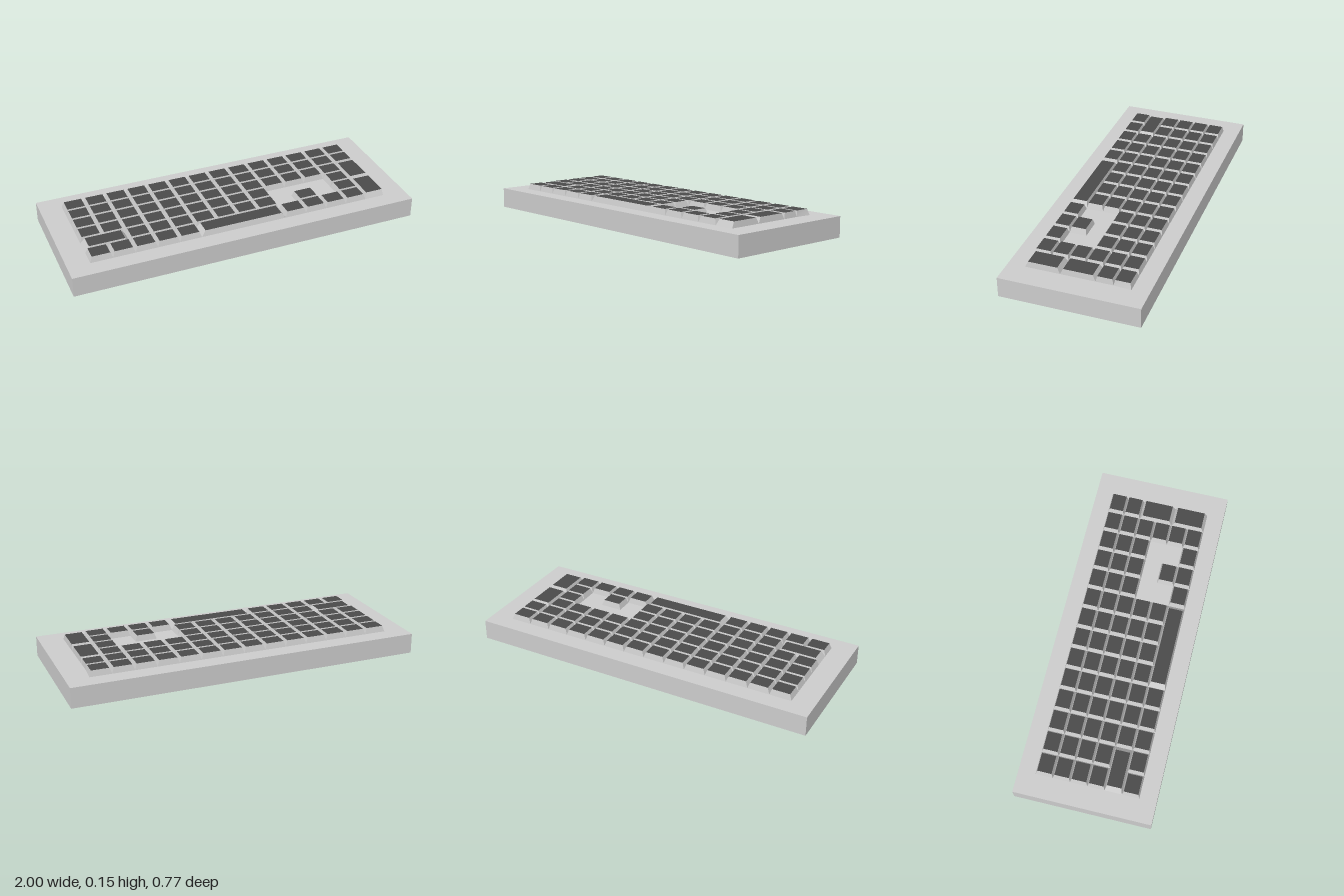
import * as THREE from 'three';

const BASE_W = 2, BASE_D = 0.77, BASE_H = 0.115, KEY_H = 0.033;
const COL = 0.125, ROW = 0.0963;      // key pitch
const X0 = -0.875, Z0 = -0.289;       // back left corner of the key field
const RIGHT_EDGE = 0.865;             // the last column is trimmed slightly

const grey = new THREE.MeshStandardMaterial({ color: 0xcccccc });
const dark = new THREE.MeshStandardMaterial({ color: 0x4a4a4a });

// Keycap: a box whose upper face is drawn in; longer caps get longer slopes
function makeKey(name, col, row, cols = 1, rows = 1) {
  const last = col + cols === 14;
  const x1 = X0 + col * COL, x2 = last ? RIGHT_EDGE : x1 + cols * COL;
  const z1 = Z0 + row * ROW, z2 = z1 + rows * ROW;
  const insetX = 0.012 * Math.min(cols, 2), insetZ = 0.008 * rows;
  const insetRight = last ? 0.004 : insetX;
  const geo = new THREE.BoxGeometry(1, 1, 1);
  const p = geo.attributes.position;
  for (let i = 0; i < p.count; i++) {
    const top = p.getY(i) > 0, right = p.getX(i) > 0, front = p.getZ(i) > 0;
    let x = right ? x2 - (top ? insetRight : 0) : x1 + (top ? insetX : 0);
    const z = front ? z2 - (top ? insetZ : 0) : z1 + (top ? insetZ : 0);
    // the back corner key flares out a little at its outer back foot
    if (last && row === 0 && right && !top && !front) x += 0.008;
    p.setXYZ(i, x, BASE_H + (top ? KEY_H : 0), z);
  }
  geo.computeVertexNormals();
  const key = new THREE.Mesh(geo, [grey, grey, dark, grey, grey, grey]);
  key.name = name;
  return key;
}

export function createModel() {
  const model = new THREE.Group();
  model.name = 'keyboard';

  // Slab body
  const body = new THREE.Mesh(new THREE.BoxGeometry(BASE_W, BASE_H, BASE_D), grey);
  body.name = 'body';
  body.position.y = BASE_H / 2;
  model.add(body);

  // Single keys, row by row from the back: x is a key, . is empty or a large key
  const layout = [
    'xxxxxxxxxxxxxx',
    'xxxxxxxxxxxxxx',
    'xxxxxxxxxxxxx.',
    'xxxxxxxxx...x.',
    '..xxxxxxx.x.x.',
    'xxxxx....xxxx.',
  ];
  const keys = new THREE.Group();
  keys.name = 'keys';
  layout.forEach((line, row) => [...line].forEach((c, col) => {
    if (c === 'x') keys.add(makeKey('key', col, row));
  }));

  // Large keys
  keys.add(makeKey('spaceBar', 5, 5, 4, 1));
  keys.add(makeKey('wideKey', 0, 4, 2, 1));
  keys.add(makeKey('tallKeyBack', 13, 2, 1, 2));
  keys.add(makeKey('tallKeyFront', 13, 4, 1, 2));
  model.add(keys);

  return model;
}
